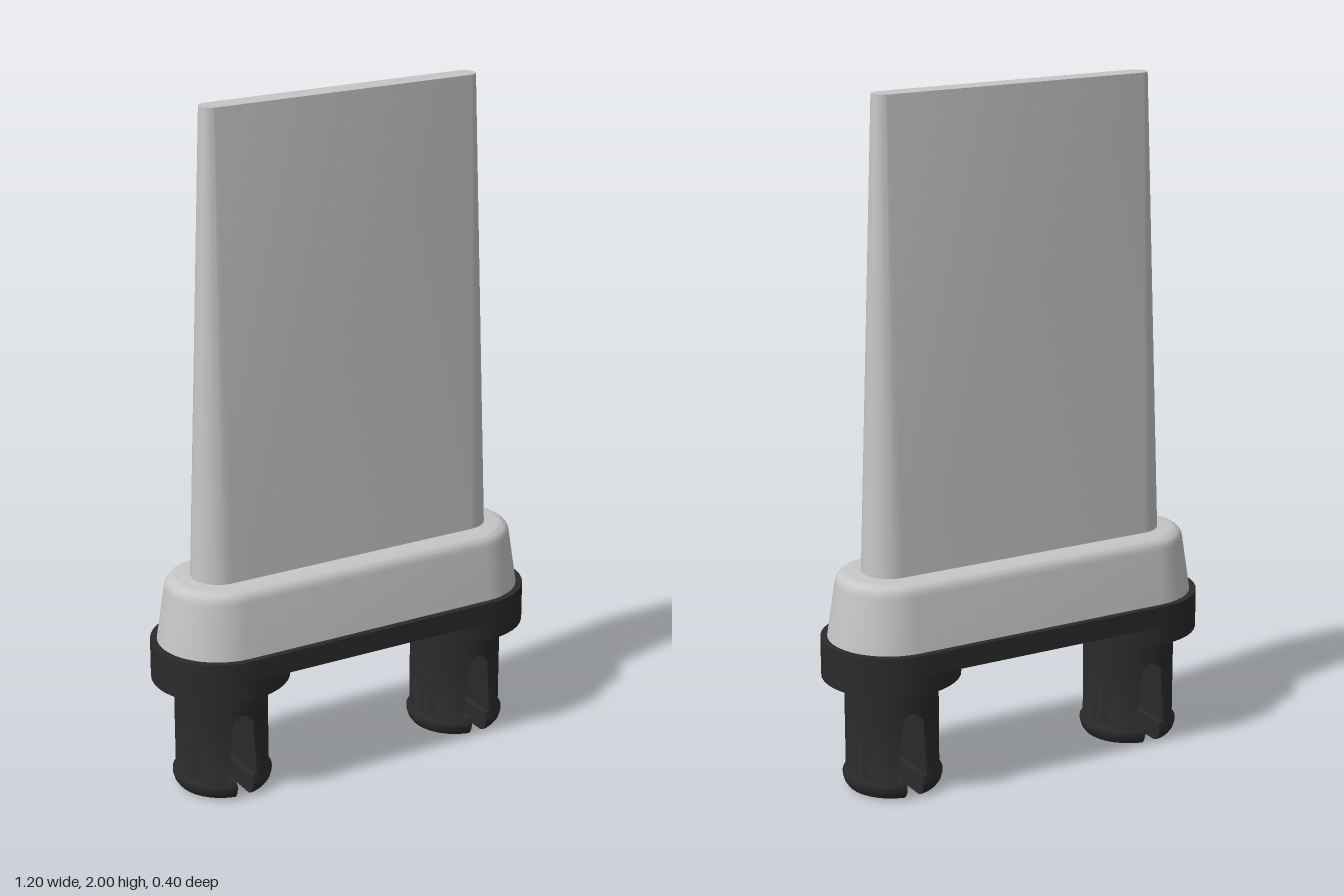
import * as THREE from 'three';
import { toCreasedNormals } from 'three/addons/utils/BufferGeometryUtils.js';

// Skin a list of matching cross-sections (bottom to top), with flat caps at both ends.
function loft(rings, crease = 0.5) {
  const n = rings[0].length;
  const index = [];
  for (let i = 0; i < rings.length - 1; i++) {
    for (let j = 0; j < n; j++) {
      const k = (j + 1) % n;
      const a = i * n + j, b = i * n + k, c = a + n, d = b + n;
      index.push(a, b, d, a, d, c);
    }
  }
  const top = (rings.length - 1) * n;
  for (let j = 1; j < n - 1; j++) {
    index.push(0, j + 1, j);
    index.push(top, top + j, top + j + 1);
  }
  const geometry = new THREE.BufferGeometry();
  geometry.setAttribute('position', new THREE.Float32BufferAttribute(rings.flat(2), 3));
  geometry.setIndex(index);
  return toCreasedNormals(geometry.toNonIndexed(), crease);
}

// Pill-shaped cross-section: two half circles around x = +-0.4.
function pill(r, y, segments = 20) {
  const points = [];
  for (const side of [1, -1]) {
    for (let i = 0; i <= segments; i++) {
      const t = -Math.PI / 2 + (i / segments) * Math.PI;
      points.push([side * (0.4 + r * Math.cos(t)), y, -side * r * Math.sin(t)]);
    }
  }
  return points;
}

// Circle cut off by a flat at x = slot.
function cutCircle(r, slot, y, segments = 24) {
  const limit = Math.acos(slot / r);
  return Array.from({ length: segments + 1 }, (_, i) => {
    const t = -limit + (2 * limit * i) / segments;
    return [r * Math.cos(t), y, -r * Math.sin(t)];
  });
}

function pegHalfGeometry() {
  // radius, half slot width, height
  const sections = [
    [0.115, 0.025, 0], [0.13, 0.025, 0.006], [0.139, 0.025, 0.018], [0.144, 0.025, 0.035],
    [0.144, 0.025, 0.045], [0.135, 0.025, 0.06], [0.135, 0.045, 0.06], [0.135, 0.034, 0.225],
  ];
  // rounded top of the slot
  for (let i = 1; i <= 6; i++) {
    const t = (i / 6) * Math.PI / 2;
    sections.push([0.135, i === 6 ? 0 : 0.034 * Math.cos(t), 0.225 + 0.034 * Math.sin(t)]);
  }
  sections.push([0.135, 0, 0.345]);
  return loft(sections.map(([r, s, y]) => cutCircle(r, s, y)), 0.6);
}

export function createModel() {
  const lightGrey = new THREE.MeshStandardMaterial({ color: 0xc6c6c6 });
  lightGrey.name = 'lightGrey';
  const charcoal = new THREE.MeshStandardMaterial({ color: 0x2b2b2b });
  charcoal.name = 'charcoal';

  const model = new THREE.Group();
  model.name = 'taperedBladeOnPegs';
  const add = (name, geometry, material, parent = model) => {
    const mesh = new THREE.Mesh(geometry, material);
    mesh.name = name;
    parent.add(mesh);
    return mesh;
  };

  // Tall tapering blade
  add('blade', loft([pill(0.082, 0.64), pill(0.034, 2)]), lightGrey);

  // Sloped collar with a rounded upper rim
  const collar = [pill(0.181, 0.455), pill(0.157, 0.615)];
  for (let i = 1; i <= 6; i++) {
    const t = 0.15 + (i / 6) * (Math.PI / 2 - 0.15);
    collar.push(pill(0.122 + 0.035 * Math.cos(t), 0.615 + 0.035 * Math.sin(t)));
  }
  add('collar', loft(collar), lightGrey);

  // Dark mounting plate
  add('basePlate', loft([pill(0.2, 0.395), pill(0.2, 0.457)]), charcoal);

  // Round foot and split snap peg at each end
  const pegHalf = pegHalfGeometry();
  for (const side of [1, -1]) {
    const mount = new THREE.Group();
    mount.name = side > 0 ? 'leftMount' : 'rightMount';
    mount.position.x = side * 0.4;
    model.add(mount);
    const foot = add('foot', new THREE.CylinderGeometry(0.2, 0.2, 0.06, 40), charcoal, mount);
    foot.position.y = 0.37;
    add('pegOuterHalf', pegHalf, charcoal, mount);
    add('pegInnerHalf', pegHalf, charcoal, mount).rotation.y = Math.PI;
  }
  return model;
}
